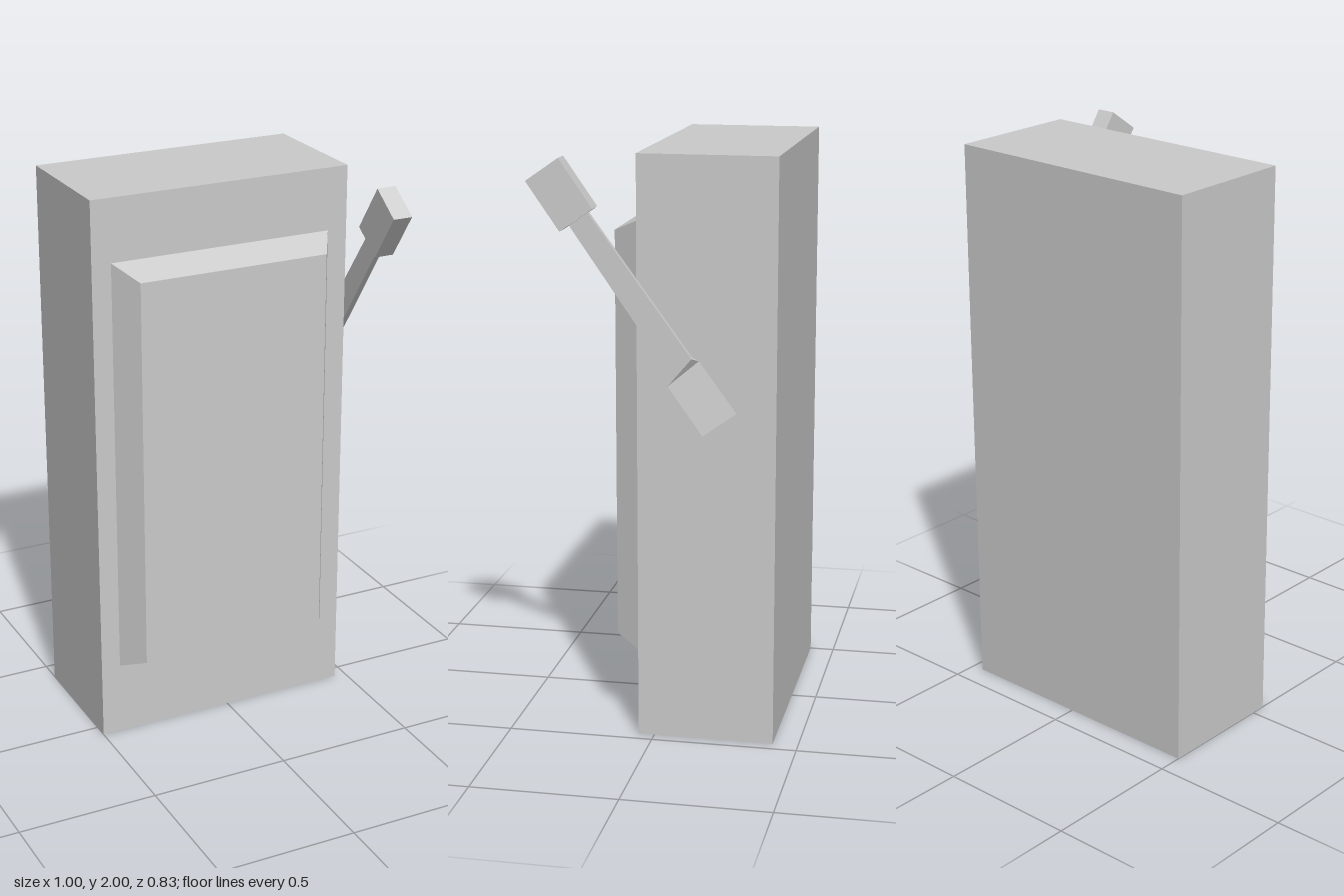
import * as THREE from 'three';

const material = new THREE.MeshStandardMaterial({ color: 0xcccccc, flatShading: true });

function addMesh(group, name, geometry, x = 0, y = 0, z = 0) {
  const mesh = new THREE.Mesh(geometry, material);
  mesh.name = name;
  mesh.position.set(x, y, z);
  group.add(mesh);
  return mesh;
}

// Box whose +z face is scaled to make a bevelled panel
function bevelledPanel(w, h, d, frontW, frontH) {
  const geometry = new THREE.BoxGeometry(w, h, d);
  const p = geometry.attributes.position;
  for (let i = 0; i < p.count; i++) {
    if (p.getZ(i) > 0) p.setXY(i, p.getX(i) * frontW / w, p.getY(i) * frontH / h);
  }
  geometry.computeVertexNormals();
  return geometry;
}

// Joins four-cornered sections, listed from top to bottom, and closes the lower end
function loft(sections) {
  const points = [];
  const quad = (a, b, c, d) => points.push(...a, ...b, ...c, ...a, ...c, ...d);
  for (let i = 0; i < sections.length - 1; i++) {
    const u = sections[i], l = sections[i + 1];
    for (let j = 0; j < 4; j++) {
      const k = (j + 1) % 4;
      quad(l[j], l[k], u[k], u[j]);
    }
  }
  const [a, b, c, d] = sections[sections.length - 1];
  quad(d, c, b, a);
  const geometry = new THREE.BufferGeometry();
  geometry.setAttribute('position', new THREE.Float32BufferAttribute(points, 3));
  geometry.computeVertexNormals();
  return geometry;
}

export function createModel() {
  const model = new THREE.Group();
  model.name = 'leverCabinet';

  // Cabinet and raised front panel
  addMesh(model, 'cabinet', new THREE.BoxGeometry(0.957, 2, 0.468), -0.0215, 1, -0.179);
  addMesh(model, 'frontPanel', bevelledPanel(0.815, 1.51, 0.102, 0.695, 1.415), -0.0225, 1.022, 0.106);

  // Side lever: handle block on a thin arm that ends in a wedge-shaped foot
  const lever = new THREE.Group();
  lever.name = 'lever';
  model.add(lever);
  const handle = addMesh(lever, 'leverHandle', new THREE.BoxGeometry(0.07, 0.198, 0.135), 0.465, 1.864, 0.302);
  handle.rotation.x = 0.607;

  // Section from its front and back edges [z, y], with outer x on each edge
  const section = ([fz, fy], [bz, by], inner, frontX, backX) => [
    [inner, fy, fz], [frontX, fy, fz], [backX, by, bz], [inner, by, bz],
  ];
  addMesh(lever, 'leverArm', loft([
    section([0.28, 1.77], [0.216, 1.812], 0.457, 0.478, 0.478),
    section([-0.048, 1.297], [-0.133, 1.334], 0.457, 0.478, 0.478),
    section([-0.053, 1.239], [-0.154, 1.324], 0.455, 0.478, 0.457),
    section([-0.17, 1.075], [-0.28, 1.152], 0.455, 0.478, 0.457),
  ]));

  return model;
}
